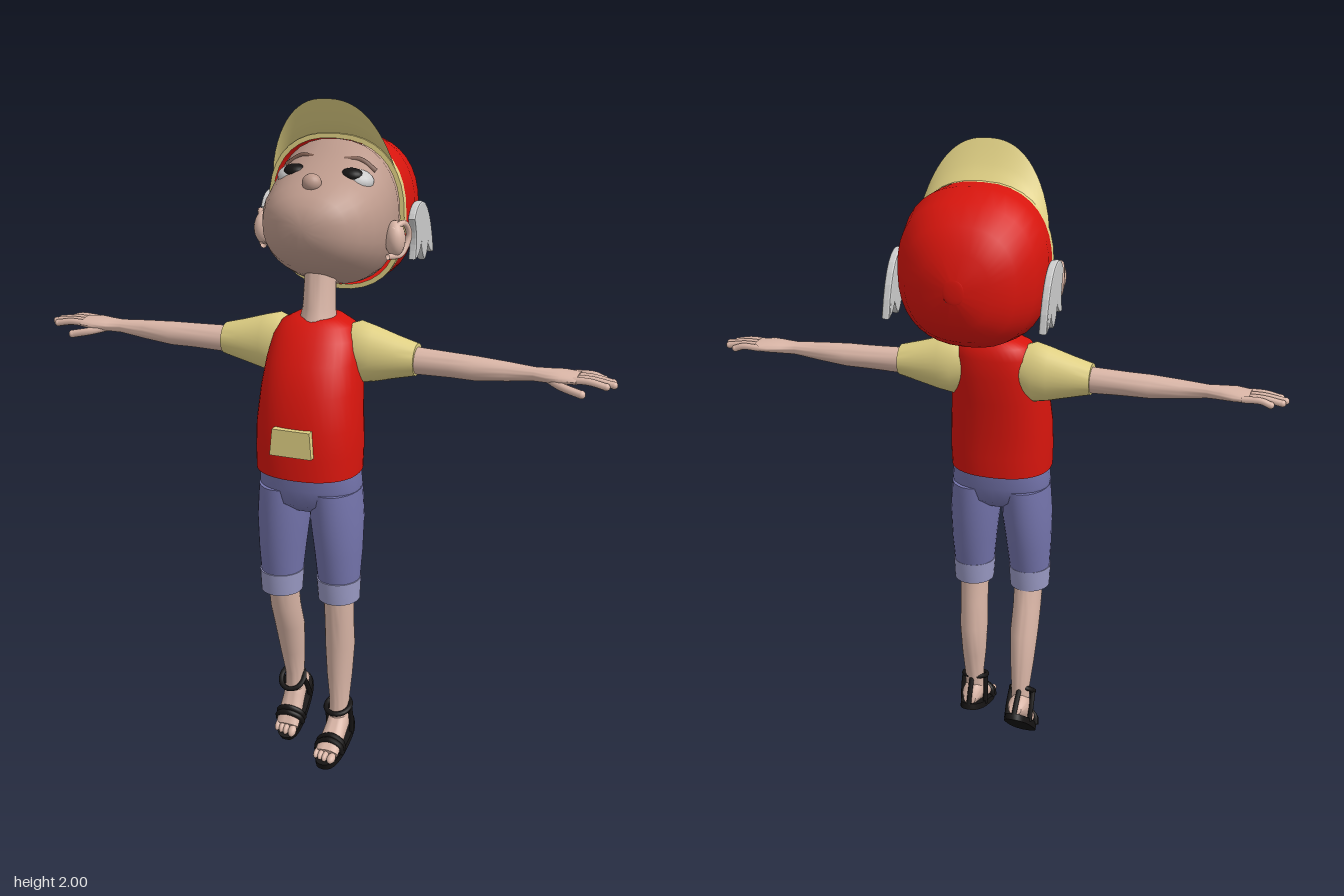
import * as THREE from 'three';
import { toCreasedNormals } from 'three/addons/utils/BufferGeometryUtils.js';

const paint = (color) => new THREE.MeshStandardMaterial({ color, side: THREE.DoubleSide });
const SKIN = paint(0xd9b5a6), FACE = paint(0xbd9a8c), RED = paint(0xd8150d), YELLOW = paint(0xe0d084);
const BLUE = paint(0x7474ac), CUFF = paint(0x9a9ac4), BLACK = paint(0x151313), GREY = paint(0xcccccc);
const BROWN = paint(0x7d5d50);

// Point on a rounded (superelliptic) outline
const power = (v, n) => Math.sign(v) * Math.pow(Math.abs(v), 2 / n);
const outline = (a, n) => [power(Math.cos(a), n), power(Math.sin(a), n)];

// Skin through sections [w, centreU, centreV, radiusU, radiusV]; (u,v,w) is cyclic, w is the axis
function loft(axis, sections, { n = 2, seg = 28, caps = true } = {}) {
  const w = 'xyz'.indexOf(axis), u = (w + 1) % 3, v = (w + 2) % 3;
  const rows = sections.slice();
  if (caps) {
    const first = rows[0], last = rows[rows.length - 1];
    rows.unshift([first[0], first[1], first[2], 0, 0]);
    rows.push([last[0], last[1], last[2], 0, 0]);
  }
  const pos = [], index = [];
  rows.forEach(([t, cu, cv, ru, rv], i) => {
    for (let j = 0; j < seg; j++) {
      const [c, s] = outline((j / seg) * Math.PI * 2, n);
      const p = [0, 0, 0];
      p[u] = cu + ru * c; p[v] = cv + rv * s; p[w] = t;
      pos.push(...p);
      if (i === rows.length - 1) continue;
      const a = i * seg + j, b = i * seg + (j + 1) % seg;
      index.push(a, b, a + seg, b, b + seg, a + seg);
    }
  });
  const geo = new THREE.BufferGeometry();
  geo.setAttribute('position', new THREE.Float32BufferAttribute(pos, 3));
  geo.setIndex(index);
  return toCreasedNormals(geo, 0.9);
}

function add(parent, name, geo, mat, at = [0, 0, 0]) {
  const mesh = new THREE.Mesh(geo, mat);
  mesh.name = name;
  mesh.position.set(...at);
  parent.add(mesh);
  return mesh;
}

function ball(parent, name, mat, at, radii) {
  const mesh = add(parent, name, new THREE.SphereGeometry(1, 20, 14), mat, at);
  mesh.scale.set(...radii);
  return mesh;
}

function tube(parent, name, mat, points, radius, closed = false) {
  const curve = new THREE.CatmullRomCurve3(points.map((p) => new THREE.Vector3(...p)), closed);
  return add(parent, name, new THREE.TubeGeometry(curve, 24, radius, 8, closed), mat);
}

function group(parent, name) {
  const g = new THREE.Group();
  g.name = name;
  parent.add(g);
  return g;
}

// Curved visor rising from the upper edge of the cap
function brimGeometry() {
  const pos = [], index = [], N = 28, M = 5;
  for (let i = 0; i <= N; i++) {
    const a = THREE.MathUtils.degToRad(20 + (140 * i) / N);
    const [c, s] = outline(a, 2.4);
    const lift = Math.pow(Math.sin((Math.PI * i) / N), 0.65);
    for (let j = 0; j <= M; j++) {
      const k = (j / M) * lift;
      pos.push(0.207 * c * (1 - 0.08 * k), 1.665 + 0.226 * s + 0.109 * k, -0.05 + 0.065 * Math.pow(k, 0.8));
      if (i === N || j === M) continue;
      const p = i * (M + 1) + j, q = p + M + 1;
      index.push(p, p + 1, q, p + 1, q + 1, q);
    }
  }
  const geo = new THREE.BufferGeometry();
  geo.setAttribute('position', new THREE.Float32BufferAttribute(pos, 3));
  geo.setIndex(index);
  geo.computeVertexNormals();
  return geo;
}

// Feathered wing on the side of the cap, x runs towards the back
function wingGeometry() {
  const s = new THREE.Shape();
  s.moveTo(0.055, 1.66);
  s.quadraticCurveTo(0.075, 1.7, 0.12, 1.695);
  s.quadraticCurveTo(0.19, 1.68, 0.225, 1.53);
  s.quadraticCurveTo(0.195, 1.535, 0.175, 1.575);
  s.quadraticCurveTo(0.17, 1.54, 0.15, 1.525);
  s.quadraticCurveTo(0.125, 1.54, 0.115, 1.59);
  s.quadraticCurveTo(0.1, 1.55, 0.065, 1.545);
  s.quadraticCurveTo(0.085, 1.6, 0.055, 1.66);
  return new THREE.ExtrudeGeometry(s, { depth: 0.012, bevelEnabled: true, bevelSize: 0.005, bevelThickness: 0.006, bevelSegments: 2, curveSegments: 6 });
}

function buildHead(model) {
  const head = group(model, 'head');
  add(head, 'face', loft('z', [
    [-0.2, 0, 1.665, 0.15, 0.17], [-0.05, 0, 1.665, 0.19, 0.212], [0, 0, 1.655, 0.187, 0.193], [0.05, 0, 1.652, 0.182, 0.17],
    [0.1, 0, 1.655, 0.17, 0.148], [0.15, 0, 1.66, 0.148, 0.122], [0.185, 0, 1.665, 0.118, 0.095],
    [0.21, 0, 1.672, 0.08, 0.065], [0.225, 0, 1.675, 0.035, 0.03],
  ], { n: 2.25, seg: 32 }), FACE);
  ball(head, 'nose', FACE, [0, 1.788, 0.145], [0.028, 0.026, 0.025]);
  add(head, 'neck', loft('y', [[1.37, 0.1, 0, 0.064, 0.055], [1.42, 0.09, 0, 0.053, 0.047], [1.55, 0.075, 0, 0.05, 0.044]]), SKIN);
  // Cap
  add(head, 'cap', loft('z', [
    [-0.317, 0, 1.65, 0.03, 0.035], [-0.3, 0, 1.65, 0.1, 0.105], [-0.26, 0, 1.655, 0.16, 0.165], [-0.2, 0, 1.663, 0.2, 0.207],
    [-0.12, 0, 1.667, 0.216, 0.226], [-0.05, 0, 1.665, 0.207, 0.226],
  ].map((r) => r), { n: 2.4, seg: 36, caps: false }), RED);
  ball(head, 'capBack', RED, [0, 1.65, -0.314], [0.033, 0.038, 0.005]);
  add(head, 'capTrim', loft('z', [[-0.062, 0, 1.665, 0.209, 0.228], [-0.042, 0, 1.665, 0.209, 0.228], [-0.041, 0, 1.665, 0.196, 0.214]],
    { n: 2.4, seg: 36, caps: false }), YELLOW);
  add(head, 'brim', brimGeometry(), YELLOW);
  const wing = wingGeometry();
  for (const [side, s] of [['left', 1], ['right', -1]]) {
    const w = add(head, side + 'Wing', wing, GREY, [s > 0 ? 0.222 : -0.234, 0, 0]);
    w.rotation.y = Math.PI / 2;
    ball(head, side + 'Ear', SKIN, [s * 0.198, 1.615, 0.005], [0.03, 0.052, 0.042]).rotation.y = s * 0.4;
    tube(head, side + 'EarRim', SKIN, [[s * 0.19, 1.57, 0.045], [s * 0.215, 1.57, 0], [s * 0.228, 1.62, -0.03], [s * 0.22, 1.66, -0.005], [s * 0.2, 1.645, 0.03]], 0.009);
    ball(head, side + 'Eye', GREY, [s * 0.094, 1.778, 0.04], [0.05, 0.034, 0.042]);
    ball(head, side + 'Pupil', BLACK, [s * 0.085, 1.797, 0.054], [0.035, 0.021, 0.028]);
    tube(head, side + 'Brow', BROWN, [[s * 0.045, 1.83, 0.01], [s * 0.09, 1.829, -0.005], [s * 0.135, 1.8, -0.005]], 0.009);
  }
}

function buildTorso(model) {
  const torso = group(model, 'torso');
  add(torso, 'shirt', loft('y', [
    [0.955, 0.167, 0, 0.133, 0.155], [1.02, 0.165, 0, 0.134, 0.157], [1.1, 0.162, 0, 0.133, 0.155], [1.2, 0.145, 0, 0.13, 0.147],
    [1.28, 0.125, 0, 0.118, 0.138], [1.34, 0.104, 0, 0.098, 0.127], [1.375, 0.093, 0, 0.08, 0.108], [1.395, 0.088, 0, 0.06, 0.07],
  ], { n: 2.3, seg: 36 }), RED);
  const pocket = new THREE.Shape([[-0.068, 1.03], [0.06, 1.03], [0.054, 1.11], [-0.06, 1.11]].map((p) => new THREE.Vector2(...p)));
  add(torso, 'pocket', new THREE.ExtrudeGeometry(pocket, { depth: 0.03, bevelEnabled: false }), YELLOW, [0, 0, 0.28]);
}

// Left arm reaching out along +x; the right one is its mirror image
function buildArm(model, name, mirror) {
  const arm = group(model, name);
  arm.scale.x = mirror;
  add(arm, 'sleeve', loft('x', [
    [0.08, 1.3, 0.085, 0.07, 0.055], [0.125, 1.295, 0.085, 0.092, 0.066], [0.17, 1.293, 0.085, 0.082, 0.062],
    [0.24, 1.291, 0.085, 0.062, 0.053], [0.297, 1.29, 0.085, 0.047, 0.046],
  ]), YELLOW);
  add(arm, 'forearm', loft('x', [
    [0.27, 1.287, 0.085, 0.04, 0.038], [0.4, 1.286, 0.086, 0.036, 0.036], [0.47, 1.285, 0.088, 0.035, 0.038],
    [0.56, 1.287, 0.088, 0.028, 0.029], [0.64, 1.289, 0.088, 0.02, 0.022], [0.68, 1.29, 0.088, 0.019, 0.036],
    [0.72, 1.291, 0.086, 0.018, 0.047], [0.765, 1.29, 0.082, 0.014, 0.044],
  ]), SKIN);
  [[0.045, 0.835], [0.068, 0.865], [0.09, 0.872], [0.112, 0.855]].forEach(([z, tip], i) => {
    tube(arm, 'finger' + (i + 1), SKIN, [[0.745, 1.291, z], [0.8, 1.292, z], [tip - 0.008, 1.283, z]], 0.0105);
    ball(arm, 'fingertip' + (i + 1), SKIN, [tip - 0.008, 1.283, z], [0.011, 0.0105, 0.0105]);
  });
  tube(arm, 'thumb', SKIN, [[0.68, 1.285, 0.1], [0.725, 1.275, 0.128], [0.785, 1.262, 0.138]], 0.012);
  ball(arm, 'thumbTip', SKIN, [0.785, 1.262, 0.138], [0.012, 0.012, 0.012]);
}

// Sandalled foot: heel at the origin, toes towards +z
function buildFoot(model, name, at, pitch) {
  const foot = group(model, name);
  foot.position.set(...at);
  foot.rotation.x = pitch;
  add(foot, 'sole', loft('y', [[0, 0.113, 0, 0.115, 0.043], [0.02, 0.113, 0, 0.115, 0.043]], { n: 2.6 }), BLACK);
  add(foot, 'instep', loft('z', [
    [0.008, 0, 0.035, 0.02, 0.018], [0.025, 0, 0.05, 0.03, 0.037], [0.06, 0, 0.058, 0.033, 0.046], [0.1, 0, 0.046, 0.034, 0.034],
    [0.15, 0, 0.035, 0.037, 0.022], [0.19, 0, 0.03, 0.037, 0.016],
  ]), SKIN);
  [-0.029, -0.014, 0.001, 0.022].forEach((x, i) =>
    ball(foot, 'toe' + (i + 1), SKIN, [x, 0.03, 0.193 + i * 0.004], [i === 3 ? 0.013 : 0.009, 0.012, 0.02]));
  const band = (label, z, w, h, lean, radius) => tube(foot, label, BLACK,
    [[-w, 0.015, z], [-w * 0.85, h * 0.7, z - lean * 0.7], [0, h, z - lean], [w * 0.85, h * 0.7, z - lean * 0.7], [w, 0.015, z]], radius);
  band('toeStrap', 0.165, 0.041, 0.056, 0.008, 0.009);
  band('toeStrapBack', 0.15, 0.041, 0.06, 0.008, 0.009);
  const ring = [0, 1, 2, 3, 4, 5, 6, 7].map((i) => [0.037 * Math.cos(i * Math.PI / 4), 0.11, 0.058 + 0.042 * Math.sin(i * Math.PI / 4)]);
  tube(foot, 'ankleStrap', BLACK, ring, 0.008, true);
  for (const s of [-1, 1]) tube(foot, 'sideStrap', BLACK, [[s * 0.038, 0.012, 0.07], [s * 0.038, 0.06, 0.06], [s * 0.036, 0.11, 0.055]], 0.008);
  tube(foot, 'heelStrap', BLACK, [[0, 0.015, 0.004], [0, 0.06, 0.008], [0, 0.11, 0.017]], 0.008);
}

function buildLegs(model) {
  const legs = group(model, 'legs');
  add(legs, 'hips', loft('y', [
    [0.83, 0.16, 0, 0.06, 0.1], [0.86, 0.16, 0, 0.096, 0.148], [0.91, 0.158, 0, 0.108, 0.154], [0.97, 0.158, 0, 0.112, 0.148],
  ], { n: 2.3 }), BLUE);
  for (const [side, s] of [['left', 1], ['right', -1]]) {
    add(legs, side + 'Trouser', loft('y', [
      [0.6, 0.167, s * 0.091, 0.067, 0.062], [0.7, 0.163, s * 0.089, 0.085, 0.07], [0.8, 0.16, s * 0.084, 0.1, 0.077], [0.9, 0.158, s * 0.079, 0.104, 0.075],
    ]), BLUE);
    add(legs, side + 'Cuff', loft('y', [[0.547, 0.168, s * 0.092, 0.066, 0.062], [0.615, 0.168, s * 0.091, 0.072, 0.066]]), CUFF);
  }
  // The left shin hangs straight, the right one bends back
  add(legs, 'leftShin', loft('y', [
    [0.14, 0.163, 0.09, 0.034, 0.03], [0.2, 0.157, 0.09, 0.036, 0.03], [0.28, 0.15, 0.088, 0.045, 0.038],
    [0.38, 0.147, 0.088, 0.052, 0.044], [0.47, 0.16, 0.09, 0.05, 0.043], [0.58, 0.168, 0.09, 0.052, 0.045],
  ]), SKIN);
  add(legs, 'rightShin', loft('y', [
    [0.16, 0.076, -0.09, 0.032, 0.028], [0.22, 0.076, -0.09, 0.034, 0.029], [0.3, 0.092, -0.09, 0.042, 0.037],
    [0.4, 0.114, -0.09, 0.052, 0.044], [0.48, 0.145, -0.09, 0.054, 0.044], [0.58, 0.165, -0.09, 0.052, 0.045],
  ]), SKIN);
  buildFoot(legs, 'leftFoot', [0.091, 0.09, 0.085], 0.28);
  buildFoot(legs, 'rightFoot', [-0.093, 0.15, -0.026], 0.69);
}

export function createModel() {
  const model = new THREE.Group();
  model.name = 'child';
  buildHead(model);
  buildTorso(model);
  buildArm(model, 'leftArm', 1);
  buildArm(model, 'rightArm', -1);
  buildLegs(model);
  return model;
}
